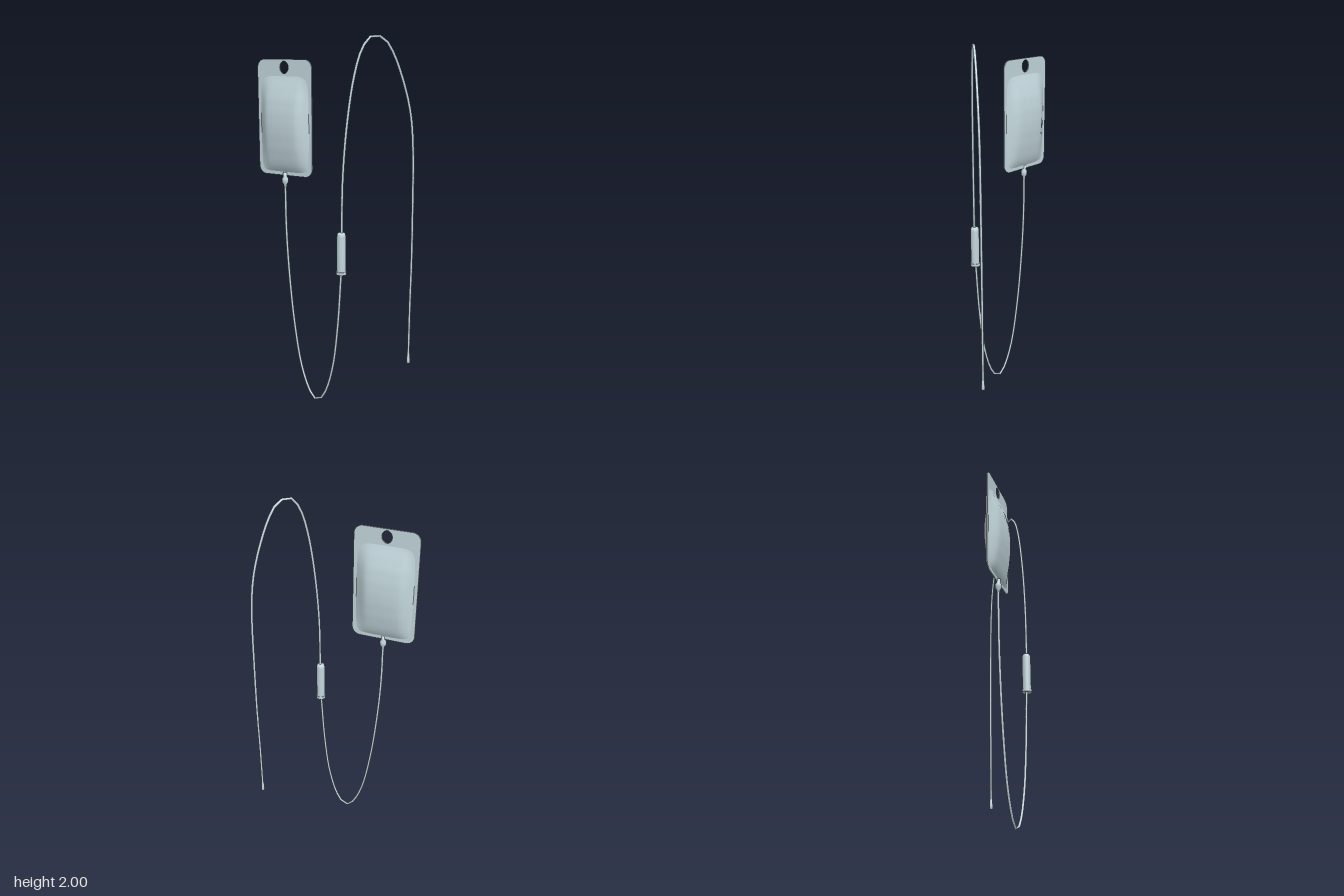
import * as THREE from 'three';

const material = new THREE.MeshStandardMaterial({ color: 0xc4d8de });

function add(parent, name, geometry, x = 0, y = 0, z = 0) {
  const mesh = new THREE.Mesh(geometry, material);
  mesh.name = name;
  mesh.position.set(x, y, z);
  parent.add(mesh);
  return mesh;
}

const lathe = (points, sides = 20) =>
  new THREE.LatheGeometry(points.map(([r, y]) => new THREE.Vector2(r, y)), sides);

// Linear interpolation through [position, value] stops
function profile(stops, t) {
  for (let i = 1; i < stops.length; i++) {
    const [a, va] = stops[i - 1], [b, vb] = stops[i];
    if (t <= b) return va + (vb - va) * (t - a) / (b - a);
  }
  return stops[stops.length - 1][1];
}

// Hanging line: [x, y] points, with z following from x
function hose(points, zAt, segments) {
  const curve = new THREE.CatmullRomCurve3(points.map(([x, y]) => new THREE.Vector3(x, y, zAt(x))));
  return new THREE.TubeGeometry(curve, segments, 0.007, 8);
}

// Flat welded sheet with rounded corners and a hanging hole
function seamGeometry(w, h, r, depth) {
  const s = new THREE.Shape();
  s.moveTo(-w + r, -h);
  s.absarc(w - r, -h + r, r, -Math.PI / 2, 0);
  s.absarc(w - r, h - r, r, 0, Math.PI / 2);
  s.absarc(-w + r, h - r, r, Math.PI / 2, Math.PI);
  s.absarc(-w + r, -h + r, r, Math.PI, Math.PI * 1.5);
  const hole = new THREE.Path();
  hole.absellipse(0, h - 0.042, 0.027, 0.033, 0, Math.PI * 2, true);
  s.holes.push(hole);
  const g = new THREE.ExtrudeGeometry(s, { depth, bevelEnabled: false, curveSegments: 8 });
  return g.translate(0, 0, -depth / 2);
}

// One swollen face of the bag: a sheet pushed out by two profiles
function bulgeGeometry(w, h) {
  const across = [[0, 0], [0.38, 0.87], [0.6, 0.96], [1, 1]];
  const upward = [[0, 0], [0.05, 0.3], [0.12, 0.52], [0.25, 0.78], [0.4, 0.96], [0.5, 1],
    [0.62, 0.96], [0.75, 0.76], [0.87, 0.42], [0.95, 0.14], [1, 0]];
  const g = new THREE.PlaneGeometry(w * 2, h * 2, 20, 28);
  const p = g.attributes.position;
  for (let i = 0; i < p.count; i++) {
    const s = 1 - Math.abs(p.getX(i)) / w;
    const t = (p.getY(i) + h) / (2 * h);
    p.setZ(i, 0.05 * profile(across, s) * profile(upward, t));
  }
  g.computeVertexNormals();
  return g;
}

export function createModel() {
  const model = new THREE.Group();
  model.name = 'dripSet';

  // Bag, turned about the vertical
  const bag = new THREE.Group();
  bag.name = 'fluidBag';
  bag.position.set(-0.263, 1.568, -0.097);
  bag.rotation.y = -0.8;
  model.add(bag);
  add(bag, 'bagSeam', seamGeometry(0.172, 0.307, 0.046, 0.006));
  const bulge = bulgeGeometry(0.157, 0.262);
  add(bag, 'bagFront', bulge, 0, -0.031, 0);
  add(bag, 'bagBack', bulge, 0, -0.031, 0).rotation.y = Math.PI;

  // Outlet port below the bag
  add(model, 'outletPort', lathe([[0, -0.035], [0.009, -0.035], [0.009, -0.02], [0.018, -0.008],
    [0.018, 0.012], [0.011, 0.022], [0.011, 0.045], [0, 0.045]], 12), -0.267, 1.232, -0.095);

  // Upper line from bag to drip chamber
  add(model, 'upperLine', hose([[-0.267, 1.21], [-0.266, 1.0], [-0.257, 0.757], [-0.235, 0.44],
    [-0.204, 0.185], [-0.172, 0.058], [-0.148, 0.009], [-0.124, 0.014], [-0.098, 0.07],
    [-0.066, 0.23], [-0.045, 0.466], [-0.03, 0.78]],
  x => -0.095 + (x + 0.267) / 0.237 * 0.288, 40), 0, 0, 0);

  // Drip chamber with a flanged base
  const chamber = new THREE.Group();
  chamber.name = 'dripChamber';
  chamber.position.set(-0.03, 0, 0.195);
  model.add(chamber);
  add(chamber, 'chamberBody', lathe([[0.024, 0.785], [0.024, 0.975], [0.022, 0.988],
    [0.018, 0.995], [0, 0.997]], 24));
  add(chamber, 'chamberBase', new THREE.CylinderGeometry(0.0275, 0.0275, 0.016, 24), 0, 0.778, 0);

  // Lower line arching over to the free end
  add(model, 'lowerLine', hose([[-0.029, 0.985], [-0.024, 1.286], [0, 1.577], [0.034, 1.794],
    [0.071, 1.92], [0.114, 1.984], [0.156, 1.993], [0.204, 1.968], [0.251, 1.894], [0.294, 1.788],
    [0.33, 1.672], [0.352, 1.56], [0.365, 1.39], [0.369, 1.127], [0.37, 0.81], [0.366, 0.545],
    [0.364, 0.24]], x => 0.198 - 0.026 * Math.max(0, x / 0.37) ** 1.3, 56));

  // Connector at the free end
  add(model, 'endConnector', lathe([[0, -0.028], [0.01, -0.028], [0.01, -0.012],
    [0.008, 0.028], [0, 0.03]], 10), 0.364, 0.243, 0.173);

  return model;
}
